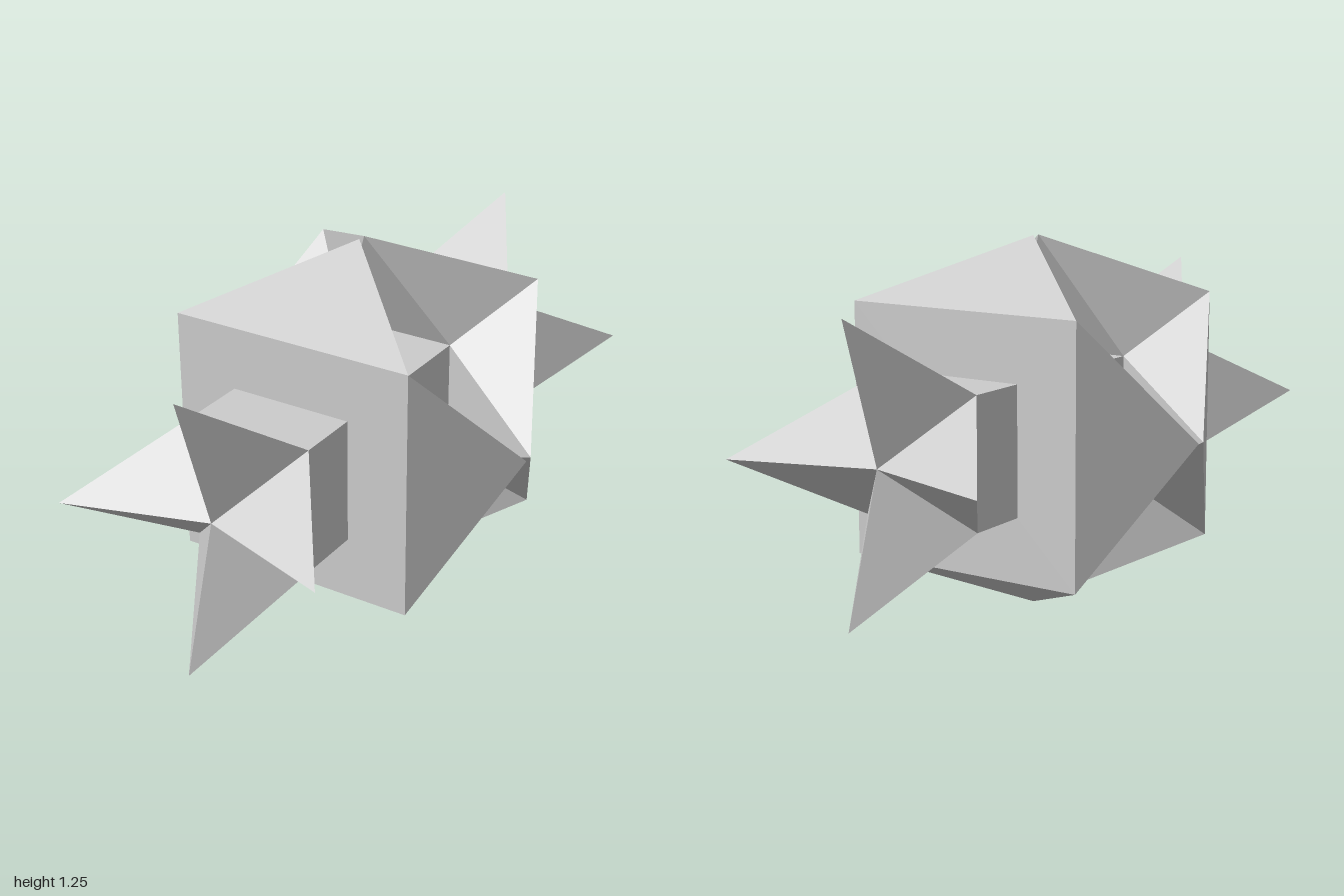
import * as THREE from 'three';

const CENTRE_Y = 0.627;
const material = new THREE.MeshStandardMaterial({ color: 0xcccccc, flatShading: true });

// Flat-shaded mesh from a list of triangles (each three [x, y, z] corners)
function facetMesh(name, triangles) {
  const geometry = new THREE.BufferGeometry();
  geometry.setAttribute('position', new THREE.Float32BufferAttribute(triangles.flat(2), 3));
  geometry.computeVertexNormals();
  const mesh = new THREE.Mesh(geometry, material);
  mesh.name = name;
  return mesh;
}

// Four copies of one sector, turned by quarter turns about z
function ringOfFour(name, triangles) {
  const group = new THREE.Group();
  group.name = name;
  for (let i = 0; i < 4; i++) {
    const sector = facetMesh(name + 'Sector', triangles);
    sector.rotation.z = (i * Math.PI) / 2;
    group.add(sector);
  }
  return group;
}

// Square face with a pointed solid flap folded back from each edge
function createShell() {
  const a = 0.425, c = 0.212;
  const A = [a, a, a], B = [-a, a, a], O = [0, 0, a];
  const C = [c, c, 0.217], D = [-c, c, 0.217];
  const P = [0, 0.627, 0.015];
  return ringOfFour('shell', [
    [A, B, O], // front face
    [A, P, B], // outer slope
    [P, A, C], [B, P, D], // sides
    [P, C, D], // inner slope
  ]);
}

// Four spikes splayed out around a central point
function createStar() {
  const s = 0.212, e = 0.64;
  const A = [s, s, e], B = [-s, s, e];
  const P = [0, 0.467, 1], M = [0, 0, 0.853];
  return ringOfFour('star', [[A, B, P], [P, B, M], [A, P, M]]);
}

export function createModel() {
  const model = new THREE.Group();
  model.name = 'foldedStar';

  // Square beam through the middle
  const beam = new THREE.Mesh(new THREE.BoxGeometry(0.424, 0.424, 1.28), material);
  beam.name = 'beam';
  beam.position.y = CENTRE_Y;
  model.add(beam);

  // Matching front and back halves
  ['frontHalf', 'backHalf'].forEach((name, i) => {
    const half = new THREE.Group();
    half.name = name;
    half.add(createShell(), createStar());
    half.position.y = CENTRE_Y;
    half.rotation.y = i * Math.PI;
    model.add(half);
  });
  return model;
}
